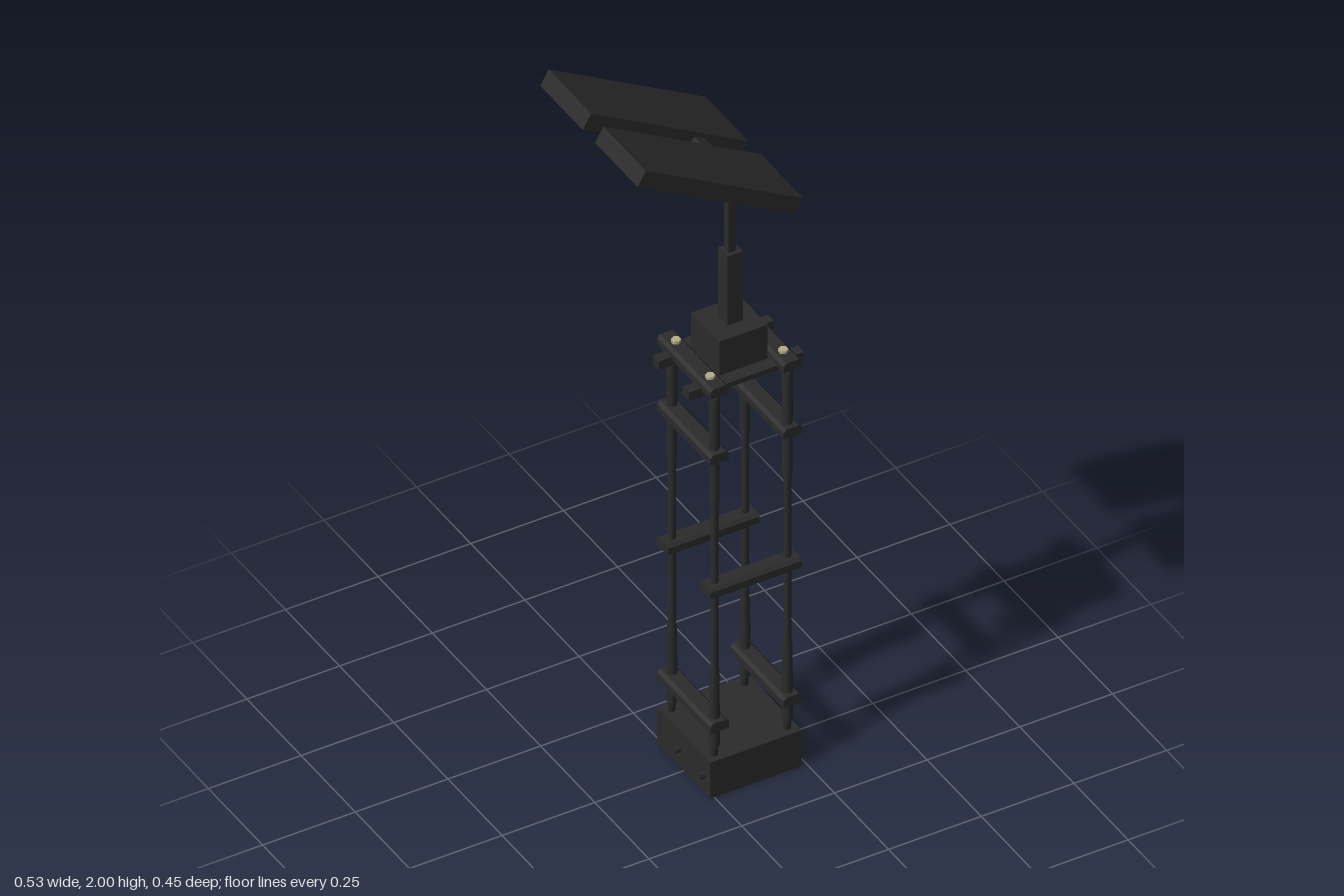
import * as THREE from 'three';

const dark = new THREE.MeshStandardMaterial({ color: 0x2b2b2b });
dark.name = 'dark metal';
const pale = new THREE.MeshStandardMaterial({ color: 0xb5ae88 });
pale.name = 'pale yellow';

const CX = 0.113; // tower axis
const POSTS_X = [0.015, 0.212], POSTS_Z = [-0.098, 0.098];

export function createModel() {
  const model = new THREE.Group();
  model.name = 'floodlightTower';

  const add = (name, geo, x, y, z, mat = dark, parent = model) => {
    const mesh = new THREE.Mesh(geo, mat);
    mesh.name = name;
    mesh.position.set(x, y, z);
    parent.add(mesh);
    return mesh;
  };
  const box = (name, w, h, d, x, y, z, parent) =>
    add(name, new THREE.BoxGeometry(w, h, d), x, y, z, dark, parent);

  // Flat rail with chamfered long edges, running along z
  const railGeometry = (length) => {
    const w = 0.025, h = 0.0135, c = 0.008;
    const s = new THREE.Shape([
      [-w, -h], [w, -h], [w, h - c], [w - c, h], [c - w, h], [-w, h - c],
    ].map(([x, y]) => new THREE.Vector2(x, y)));
    return new THREE.ExtrudeGeometry(s, { depth: length, bevelEnabled: false })
      .translate(0, 0, -length / 2);
  };

  // Base block with two bolts on its side
  box('base', 0.246, 0.105, 0.246, CX, 0.0525, 0);
  for (const z of [-0.02, 0.095]) {
    add('baseBolt', new THREE.CylinderGeometry(0.009, 0.009, 0.016, 6).rotateZ(Math.PI / 2),
      -0.017, 0.053, z);
  }

  // Four posts, with stepped thicker ends
  const profile = [[0, 0.1], [0.009, 0.1], [0.009, 0.125], [0.0135, 0.135], [0.0125, 0.35],
    [0.0095, 0.36], [0.0095, 0.84], [0.0125, 0.85], [0.0135, 1.15], [0.009, 1.17], [0, 1.17]];
  const postGeo = new THREE.LatheGeometry(profile.map(([r, y]) => new THREE.Vector2(r, y)), 10);
  for (const x of POSTS_X) for (const z of POSTS_Z) add('post', postGeo, x, 0, z);

  // Rails between the posts
  const zRail = railGeometry(0.246);
  const xRail = railGeometry(0.247).rotateY(Math.PI / 2);
  for (const x of POSTS_X) for (const y of [0.202, 0.99]) add('sideRail', zRail, x, y, 0);
  for (const z of POSTS_Z) add('crossRail', xRail, CX, 0.597, z);

  // Top frame: bolted rails, outriggers and deck
  for (const x of POSTS_X) {
    add('topRail', zRail, x, 1.184, 0);
    for (const z of [-0.079, 0.079]) {
      add('frameBolt', new THREE.CylinderGeometry(0.012, 0.012, 0.01, 6), x, 1.201, z, pale);
    }
  }
  for (const z of [-0.069, 0.069]) box('outrigger', 0.31, 0.025, 0.028, 0.11, 1.166, z);
  box('deck', 0.19, 0.014, 0.2, CX, 1.174, 0);

  // Mast: housing, sleeve, bent pole
  box('mastHousing', 0.13, 0.1, 0.13, CX, 1.23, 0);
  box('mastSleeve', 0.042, 0.205, 0.042, CX + 0.003, 1.38, 0);
  box('mastPole', 0.021, 0.215, 0.021, CX + 0.002, 1.585, 0);
  const bend = box('mastBend', 0.021, 0.145, 0.021, 0.085, 1.743, 0);
  bend.rotation.z = Math.PI / 6;

  // Tilted lamp head: two panels joined by a crossbar, lamps underneath
  const head = new THREE.Group();
  head.name = 'lampHead';
  head.position.set(-0.0425, 1.859, 0);
  head.rotation.z = -Math.PI / 6;
  model.add(head);
  box('headCrossbar', 0.035, 0.02, 0.08, 0.1, 0, 0, head);

  const cols = 12, rows = 5;
  const lampGeo = new THREE.CylinderGeometry(0.0145, 0.0145, 0.004, 8);
  for (const side of [-1, 1]) {
    const z = side * 0.1265;
    box('panel', 0.49, 0.045, 0.196, 0, 0, z, head);
    const lamps = new THREE.InstancedMesh(lampGeo, pale, 0);
    for (let i = 0; i < cols; i++) for (let j = 0; j < rows; j++) {
      add('lamp', lampGeo, (i - (cols - 1) / 2) * 0.0385, -0.0235,
        z + (j - (rows - 1) / 2) * 0.037, pale, head);
    }
    lamps.dispose();
  }

  return model;
}
